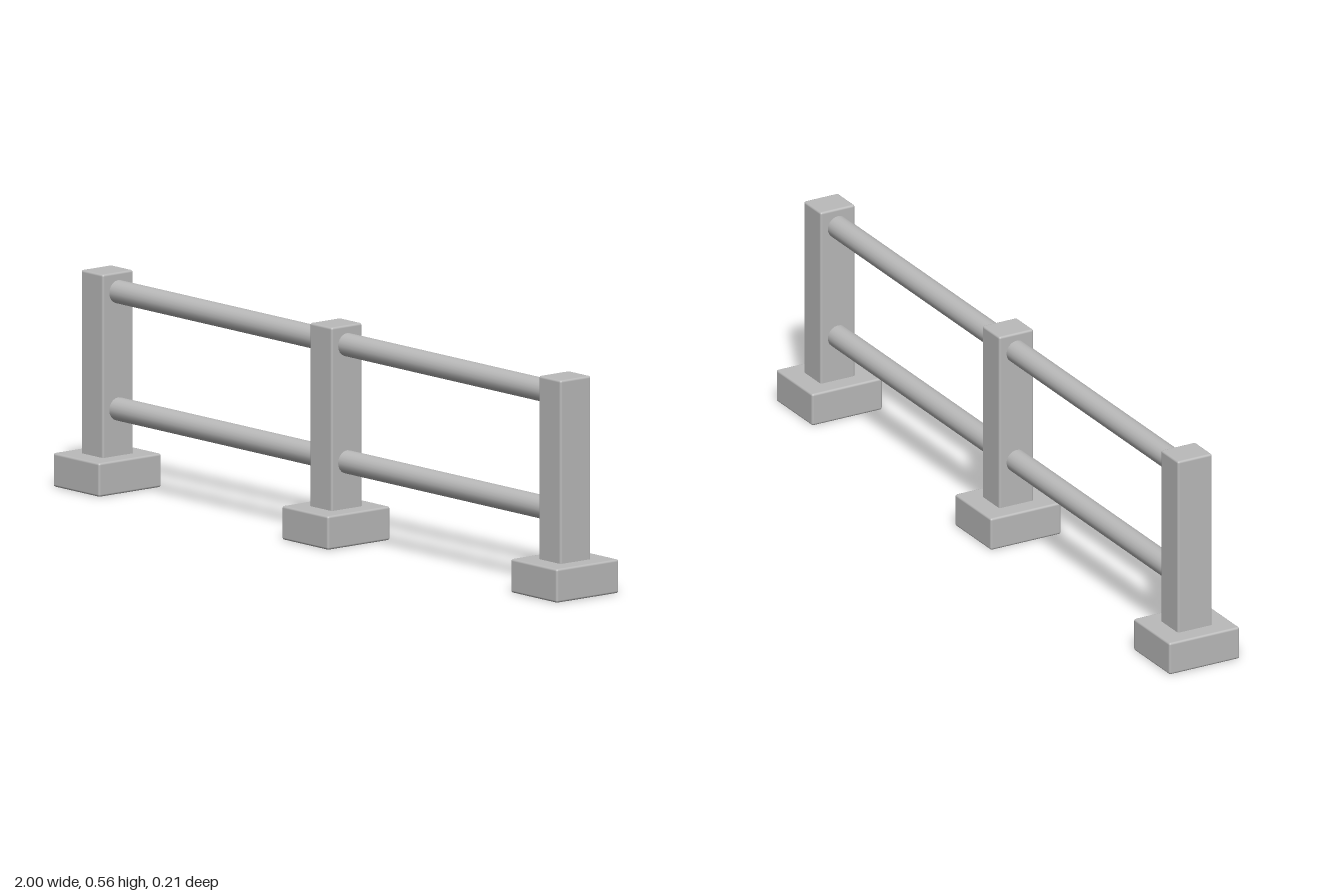
import * as THREE from 'three';
import { RoundedBoxGeometry } from 'three/addons/geometries/RoundedBoxGeometry.js';

export function createModel() {
  const group = new THREE.Group();
  group.name = 'railing';
  const concrete = new THREE.MeshStandardMaterial({ name: 'light grey', color: 0xbababa });

  const add = (name, geometry, x, y) => {
    const mesh = new THREE.Mesh(geometry, concrete);
    mesh.name = name;
    mesh.position.set(x, y, 0);
    group.add(mesh);
  };

  const spacing = 0.908;
  const baseHeight = 0.088;
  const postTop = 0.565;

  // Three posts, each standing on a wider footing
  const baseGeometry = new RoundedBoxGeometry(0.184, baseHeight, 0.208, 2, 0.006);
  const postGeometry = new RoundedBoxGeometry(0.088, postTop - 0.07, 0.102, 2, 0.006);
  for (const [side, x] of [['right', -spacing], ['middle', 0], ['left', spacing]]) {
    add(`${side}Base`, baseGeometry, x, baseHeight / 2);
    add(`${side}Post`, postGeometry, x, (postTop + 0.07) / 2);
  }

  // Two round rails in each bay, let slightly into the posts
  const railGeometry = new THREE.CylinderGeometry(0.03, 0.03, spacing - 0.07, 20);
  railGeometry.rotateZ(Math.PI / 2);
  for (const [side, x] of [['right', -spacing / 2], ['left', spacing / 2]]) {
    add(`${side}UpperRail`, railGeometry, x, 0.515);
    add(`${side}LowerRail`, railGeometry, x, 0.21);
  }
  return group;
}
